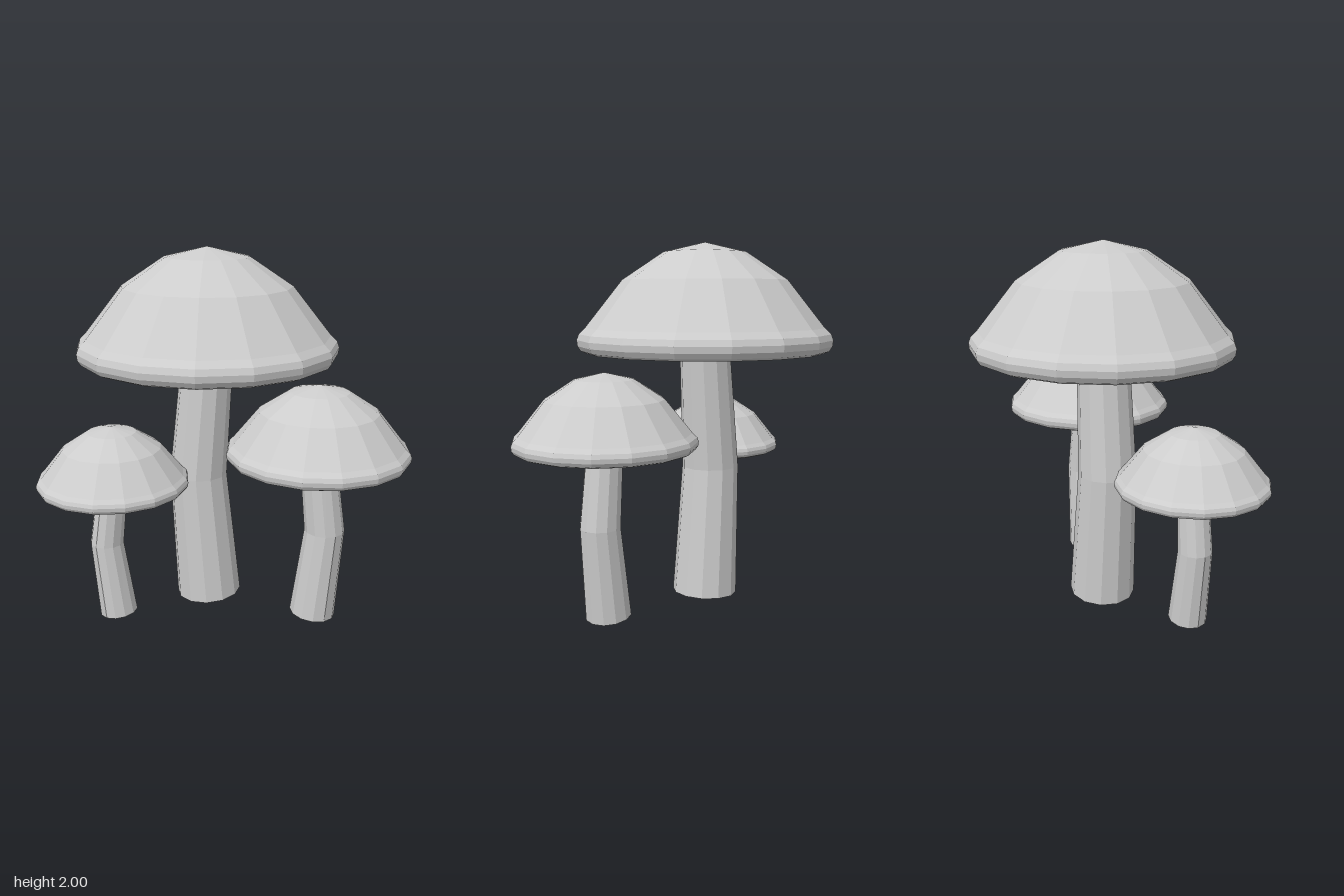
import * as THREE from 'three';

// Cap outline, from the middle of the underside up to the tip
const CAP = [
  [0, 1.402], [0.655, 1.402], [0.685, 1.415], [0.702, 1.442], [0.706, 1.475],
  [0.694, 1.507], [0.66, 1.54], [0.455, 1.797], [0.227, 1.948], [0, 2],
].map(([r, y]) => new THREE.Vector2(r, y));

// Stem: open tube through three tilted rings, bent sideways at the middle
function stemGeometry(size, bend) {
  const rings = [
    { x: 0, y: 0.017, r: 0.183, tilt: bend / 0.75 },
    { x: bend, y: 0.75, r: 0.16, tilt: 0 },
    { x: 0, y: 1.43, r: 0.14, tilt: -bend / 0.68 },
  ];
  const geo = new THREE.CylinderGeometry(1, 1, 2, 12, 2, true);
  const pos = geo.attributes.position;
  for (let i = 0; i < pos.count; i++) {
    const ring = rings[Math.round(pos.getY(i)) + 1];
    const dx = pos.getX(i) * ring.r;
    pos.setXYZ(i, ring.x + dx, ring.y - ring.tilt * dx, pos.getZ(i) * ring.r);
  }
  geo.scale(size, size, size);
  geo.computeVertexNormals();
  return geo;
}

function mushroom(name, material, { x, z, size, capWidth, capDrop, bend, turn }) {
  const group = new THREE.Group();
  group.name = name;

  const cap = new THREE.Mesh(new THREE.LatheGeometry(CAP, 16), material);
  cap.name = 'cap';
  cap.scale.set(capWidth, size, capWidth);
  cap.position.y = -capDrop;
  cap.rotation.y = turn;

  const stem = new THREE.Mesh(stemGeometry(size, bend), material);
  stem.name = 'stem';

  group.add(cap, stem);
  group.position.set(x, 0, z);
  return group;
}

export function createModel() {
  const grey = new THREE.MeshStandardMaterial({
    color: 0xcccccc, flatShading: true, side: THREE.DoubleSide,
  });
  grey.name = 'light grey';

  const model = new THREE.Group();
  model.name = 'mushroomCluster';
  model.add(
    mushroom('largeMushroom', grey, { x: -0.095, z: 0, size: 1, capWidth: 1, capDrop: 0, bend: -0.056, turn: 0 }),
    mushroom('mediumMushroom', grey, { x: 0.503, z: 0.217, size: 0.683, capWidth: 0.69, capDrop: 0.042, bend: 0.076, turn: Math.PI / 16 }),
    mushroom('smallMushroom', grey, { x: -0.583, z: 0.268, size: 0.5725, capWidth: 0.576, capDrop: 0.049, bend: -0.086, turn: -0.06 }),
  );
  return model;
}
